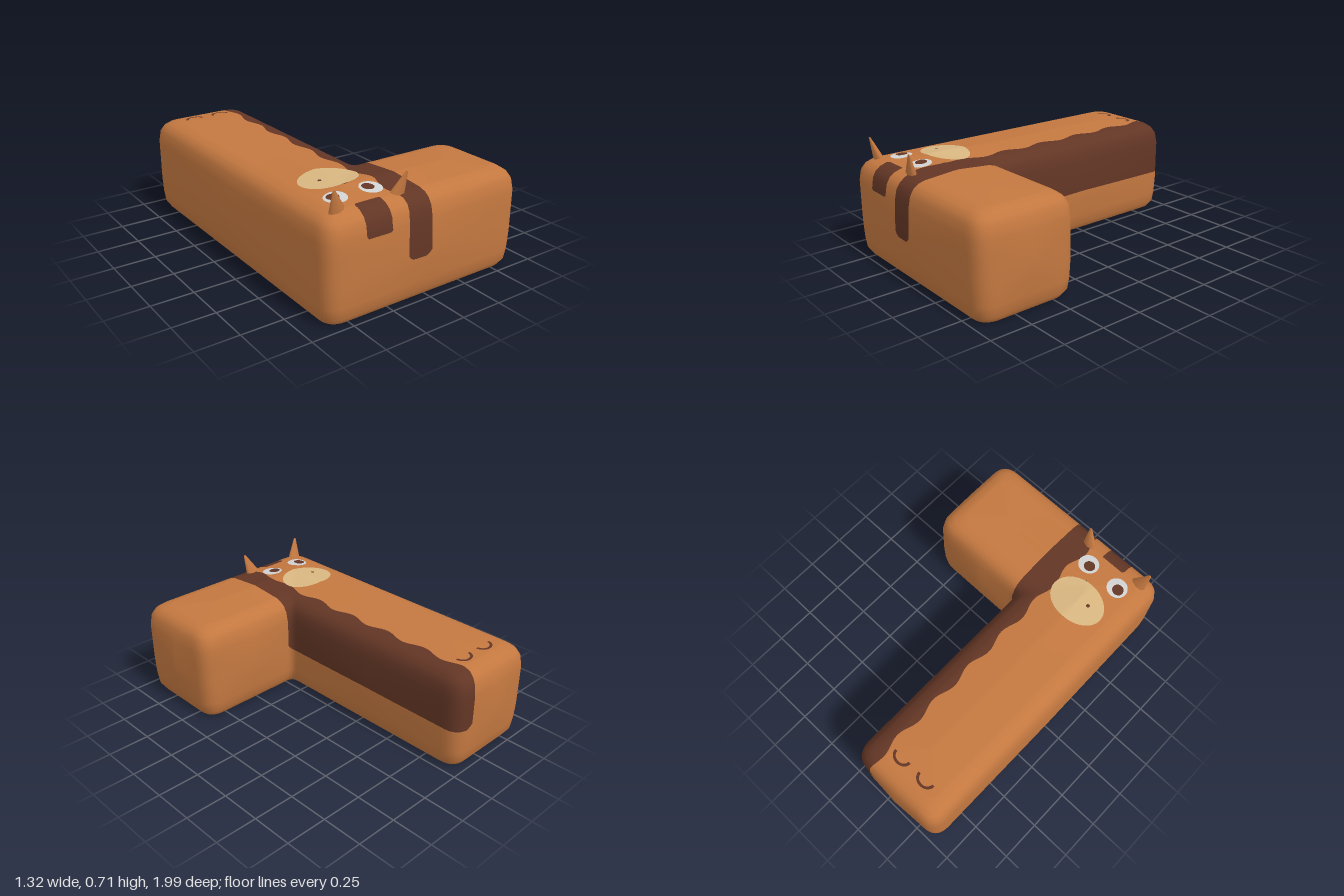
import * as THREE from 'three';

const material = (name, color) => {
  const m = new THREE.MeshStandardMaterial({ color, side: THREE.DoubleSide });
  m.name = name;
  return m;
};

// L-shaped footprint: corner, direction of the side that follows, segments on that side
const CORNERS = [
  { x: -0.645, z: -0.98, inX: 1, inZ: 1, dir: [1, 0], n: 24 },
  { x: -0.025, z: -0.98, inX: -1, inZ: 1, dir: [0, 1], n: 60 },
  { x: -0.025, z: 0.36, inX: -1, inZ: 1, dir: [1, 0], n: 24, inner: true },
  { x: 0.645, z: 0.36, inX: -1, inZ: 1, dir: [0, 1], n: 24 },
  { x: 0.645, z: 0.98, inX: -1, inZ: -1, dir: [-1, 0], n: 64 },
  { x: -0.645, z: 0.98, inX: 1, inZ: -1, dir: [0, -1], n: 80 },
];
const MAX_INSET = 0.31;

// Wall and shoulder profile as [inset, height]; the underside stays open
const PROFILE = [
  [0.035, 0], [0.012, 0.035], [0.004, 0.1], [0, 0.2], [0, 0.28], [0, 0.36], [0, 0.45],
  [0.01, 0.515], [0.03, 0.55], [0.06, 0.572], [0.1, 0.583],
];
const TOP_STEPS = 14;
for (let i = 1; i <= TOP_STEPS; i++) {
  const t = i / TOP_STEPS;
  PROFILE.push([0.1 + (MAX_INSET - 0.1) * t, 0.583 + 0.013 * t]);
}

const tent = (v, centre, half) => Math.max(0, 1 - Math.abs(v - centre) / half);

// Gentle swelling of the top over the head
const headSwell = (x, z, d) =>
  0.013 * Math.min(1, d / MAX_INSET) * tent(Math.hypot(x + 0.3, z - 0.63), 0, 0.55);

// Height of the top surface
function topY(x, z) {
  const arm = Math.min(x + 0.645, -0.025 - x, z + 0.98, 0.98 - z);
  const foot = Math.min(x + 0.645, 0.645 - x, z - 0.36, 0.98 - z);
  const d = Math.min(MAX_INSET, Math.max(arm, foot));
  const t = (d - 0.1) / (MAX_INSET - 0.1);
  return 0.583 + 0.013 * t + headSwell(x, z, d);
}

// One closed ring of the body
function ring(d, y) {
  const pts = [];
  const swell = 0.016 * tent(y, 0.28, 0.26);
  const corner = CORNERS.map((c, k) => {
    const before = CORNERS[(k + 5) % 6].dir;
    const r = c.inner ? 0.05 : 0.11 * (1 - d / MAX_INSET);
    const x = c.x + c.inX * d, z = c.z + c.inZ * d;
    return {
      p: [x, z],
      a: [x - before[0] * r, z - before[1] * r],
      b: [x + c.dir[0] * r, z + c.dir[1] * r],
    };
  });
  CORNERS.forEach((c, k) => {
    const { p, a, b } = corner[k], end = corner[(k + 1) % 6].a;
    for (let i = 0; i <= 8; i++) {
      const t = i / 8, s = 1 - t;
      pts.push([0, 1].map((q) => s * s * a[q] + 2 * s * t * p[q] + t * t * b[q]));
    }
    for (let i = 1; i < c.n; i++) {
      const u = i / c.n, out = swell * tent(u, 0.5, 0.5);
      pts.push([
        b[0] + (end[0] - b[0]) * u + c.dir[1] * out,
        b[1] + (end[1] - b[1]) * u - c.dir[0] * out,
      ]);
    }
  });
  return pts.map(([x, z]) => [x, y + (d >= 0.1 ? headSwell(x, z, d) : 0), z]);
}

function bodyGeometry() {
  const rings = PROFILE.map(([d, y]) => ring(d, y));
  const n = rings[0].length, index = [];
  for (let i = 0; i < rings.length - 1; i++) {
    for (let j = 0; j < n; j++) {
      const a = i * n + j, b = i * n + (j + 1) % n;
      index.push(a, a + n, b, b, a + n, b + n);
    }
  }
  const g = new THREE.BufferGeometry();
  g.setAttribute('position', new THREE.Float32BufferAttribute(rings.flat(2), 3));
  g.setIndex(index);
  g.computeVertexNormals();
  // The ridge where the rings meet points straight up
  for (let j = (rings.length - 1) * n; j < rings.length * n; j++) g.attributes.normal.setXYZ(j, 0, 1, 0);
  return g;
}

// Cuts a surface along field = 0 and returns the part where sign * field > 0
function cut(g, field, sign) {
  const pos = g.attributes.position, nor = g.attributes.normal, P = [], N = [];
  const read = (i) => {
    const p = new THREE.Vector3().fromBufferAttribute(pos, i);
    return { p, n: new THREE.Vector3().fromBufferAttribute(nor, i), f: sign * field(p.x, p.y, p.z) };
  };
  for (let t = 0; t < g.index.count; t += 3) {
    const tri = [0, 1, 2].map((k) => read(g.index.getX(t + k))), poly = [];
    tri.forEach((v, k) => {
      const w = tri[(k + 1) % 3];
      if (v.f > 0) poly.push(v);
      if ((v.f > 0) !== (w.f > 0)) {
        const s = v.f / (v.f - w.f);
        poly.push({ p: v.p.clone().lerp(w.p, s), n: v.n.clone().lerp(w.n, s).normalize() });
      }
    });
    for (let k = 1; k < poly.length - 1; k++) {
      for (const v of [poly[0], poly[k], poly[k + 1]]) {
        P.push(...v.p.toArray());
        N.push(...v.n.toArray());
      }
    }
  }
  const out = new THREE.BufferGeometry();
  out.setAttribute('position', new THREE.Float32BufferAttribute(P, 3));
  out.setAttribute('normal', new THREE.Float32BufferAttribute(N, 3));
  return out;
}

// Scalloped band along the inner side, and the patch over the front edge
const band = (x, y, z) =>
  Math.min(x + 0.158 + 0.016 * Math.cos((2 * Math.PI * (z + 0.6)) / 0.28), -x, y - 0.25);
const patch = (x, y, z) => Math.min(x + 0.415, -0.255 - x, y - 0.44, z - 0.865);
const darkField = (x, y, z) => Math.max(band(x, y, z), patch(x, y, z));

// Flat marking laid over the top surface
function drape(g, x, z, lift, scaleZ = 1) {
  g.rotateX(-Math.PI / 2).scale(1, 1, scaleZ).translate(x, 0, z);
  const p = g.attributes.position;
  for (let i = 0; i < p.count; i++) p.setY(i, topY(p.getX(i), p.getZ(i)) + lift);
  g.computeVertexNormals();
  return g;
}
const disc = (r) => new THREE.RingGeometry(0, r, 36, 6);

export function createModel() {
  const model = new THREE.Group();
  model.name = 'cornerBlockAnimal';
  const fur = material('tan fur', 0xc47840);
  const dark = material('dark brown', 0x633625);
  const cream = material('cream', 0xd8b680);
  const white = material('eye white', 0xd2d2d2);
  const add = (name, geometry, mat) => {
    const m = new THREE.Mesh(geometry, mat);
    m.name = name;
    model.add(m);
    return m;
  };

  // Body and its painted band
  const shell = bodyGeometry();
  add('body', cut(shell, darkField, -1), fur);
  add('darkMarkings', cut(shell, darkField, 1), dark);

  // Face on the top
  add('muzzle', drape(disc(0.175), -0.335, 0.54, 0.003, 0.75), cream);
  add('muzzleDot', drape(disc(0.011), -0.402, 0.557, 0.006), dark);
  for (const [side, x] of [['right', -0.45], ['left', -0.23]]) {
    add(side + 'Eye', drape(disc(0.063), x, 0.765, 0.003), white);
    add(side + 'Pupil', drape(disc(0.034), x - 0.012, 0.757, 0.006), dark);
  }

  // Curved marks on the rump
  for (const [side, x] of [['right', -0.43], ['left', -0.25]]) {
    add(side + 'RumpMark', drape(new THREE.RingGeometry(0.043, 0.06, 24, 1, 0, Math.PI), x, -0.805, 0.002, 0.85), dark);
  }

  // Pointed horns leaning outwards
  for (const [side, s] of [['right', -1], ['left', 1]]) {
    const base = new THREE.Vector3(-0.335 + s * 0.188, 0.582, 0.874);
    const tip = new THREE.Vector3(-0.335 + s * 0.224, 0.705, 0.903);
    const axis = tip.clone().sub(base);
    const g = new THREE.CylinderGeometry(0.007, 0.048, axis.length(), 8);
    g.scale(1, 1, 0.5);
    const horn = add(side + 'Horn', g, fur);
    horn.position.copy(base).add(tip).multiplyScalar(0.5);
    horn.quaternion.setFromUnitVectors(new THREE.Vector3(0, 1, 0), axis.normalize());
  }
  return model;
}
